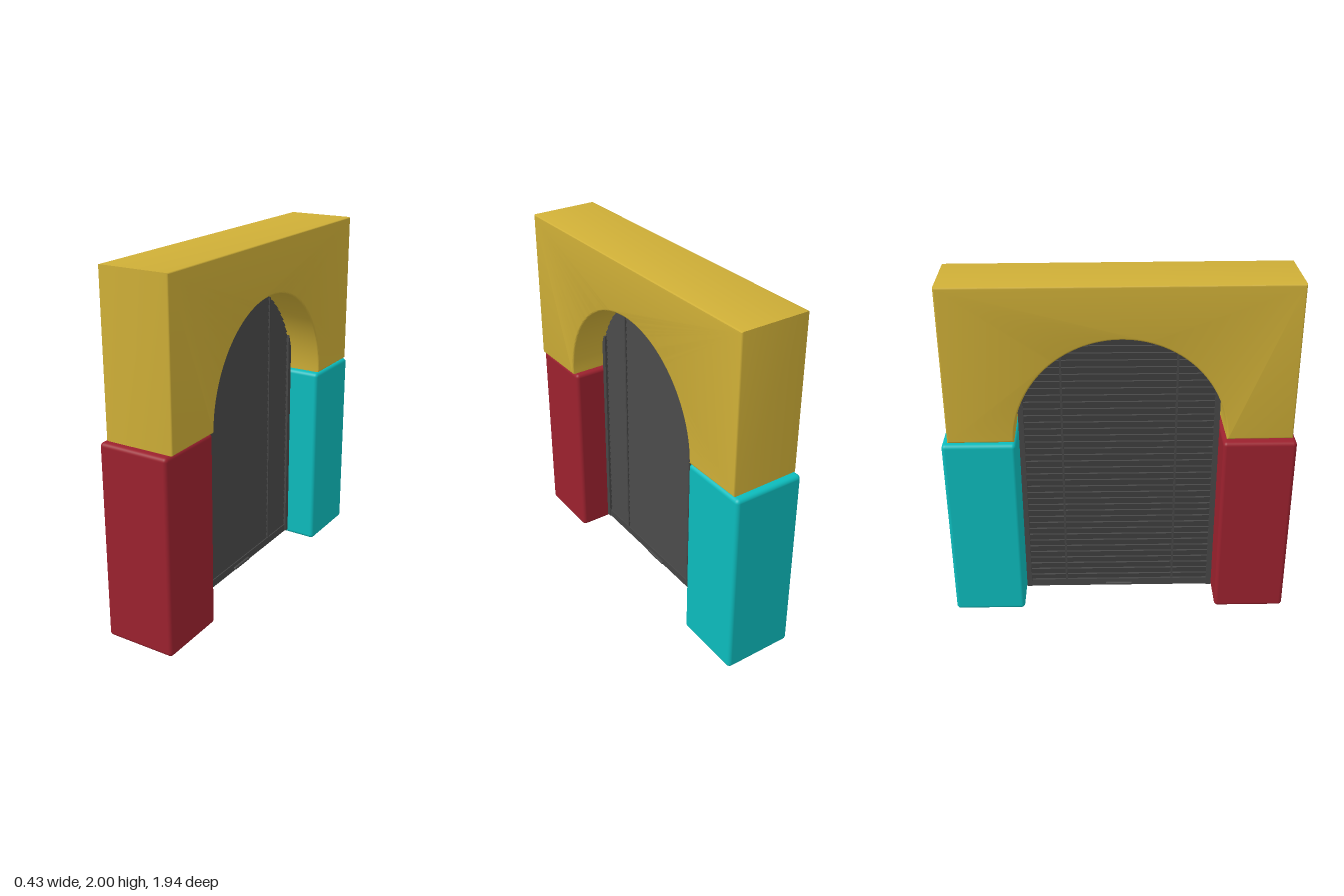
import * as THREE from 'three';
import { RoundedBoxGeometry } from 'three/addons/geometries/RoundedBoxGeometry.js';
import { toCreasedNormals } from 'three/addons/utils/BufferGeometryUtils.js';

const mat = (name, color) => {
  const m = new THREE.MeshStandardMaterial({ color });
  m.name = name;
  return m;
};

export function createModel() {
  const yellow = mat('yellow', 0xcfaf37);
  const red = mat('red', 0x9b212e);
  const cyan = mat('cyan', 0x0cbbbc);
  const grey = mat('darkGrey', 0x464646);

  const model = new THREE.Group();
  model.name = 'archGate';
  const add = (parent, name, geo, m, x, y, z) => {
    const mesh = new THREE.Mesh(geo, m);
    mesh.name = name;
    mesh.position.set(x, y, z);
    parent.add(mesh);
    return mesh;
  };

  // Two rounded pillars
  add(model, 'frontPillar', new RoundedBoxGeometry(0.41, 1.11, 0.405, 4, 0.022), red, -0.012, 0.555, 0.768);
  add(model, 'backPillar', new RoundedBoxGeometry(0.41, 1.11, 0.405, 4, 0.022), cyan, -0.012, 0.555, -0.768);

  // Arch block with a half-round opening, turned very slightly
  const springY = 1.12, radius = 0.58, bevel = 0.01, depth = 0.4;
  const shape = new THREE.Shape();
  shape.moveTo(radius, springY);
  shape.lineTo(0.943, springY);
  shape.lineTo(0.943, 2);
  shape.lineTo(-0.943, 2);
  shape.lineTo(-0.943, springY);
  shape.lineTo(-radius, springY);
  shape.absellipse(0, springY, radius, 0.59, Math.PI, 0, true);
  let archGeo = new THREE.ExtrudeGeometry(shape, {
    depth: depth - 2 * bevel, curveSegments: 56,
    bevelThickness: bevel, bevelSize: bevel, bevelOffset: -bevel, bevelSegments: 3,
  });
  archGeo.translate(0, 0, bevel - depth / 2);
  archGeo.rotateY(Math.PI / 2);
  archGeo = toCreasedNormals(archGeo, 0.6);
  add(model, 'arch', archGeo, yellow, 0.004, 0, 0.004).rotation.y = 0.011;

  // Roller door filling the opening
  const door = new THREE.Group();
  door.name = 'rollerDoor';
  door.position.x = -0.01;
  model.add(door);
  const halfWidth = (y) => y < springY ? 0.555
    : Math.min(0.555, Math.sqrt(Math.max(0.61 ** 2 - (y - springY) ** 2, 0.01)));

  // Tilted slats
  const pitch = 0.0417;
  for (let y = 0.085; y < 1.72; y += pitch) {
    const slat = new THREE.BoxGeometry(0.016, pitch + 0.002, 2 * halfWidth(y));
    add(door, 'slat', slat, grey, 0, y, 0).rotation.z = 0.22;
  }
  add(door, 'bottomBar', new THREE.BoxGeometry(0.035, 0.045, 1.08), grey, 0, 0.048, 0);
  add(door, 'handle', new RoundedBoxGeometry(0.06, 0.016, 0.16, 2, 0.006), grey, 0, 0.04, 0);

  // Side rails and upright strips
  for (const s of [-1, 1]) {
    add(door, 'sideRail', new THREE.BoxGeometry(0.045, 1.31, 0.03), grey, 0, 0.68, s * 0.547);
    add(door, 'uprightStrip', new THREE.BoxGeometry(0.032, 1.57, 0.012), grey, 0, 0.855, s * 0.32);
  }
  return model;
}
